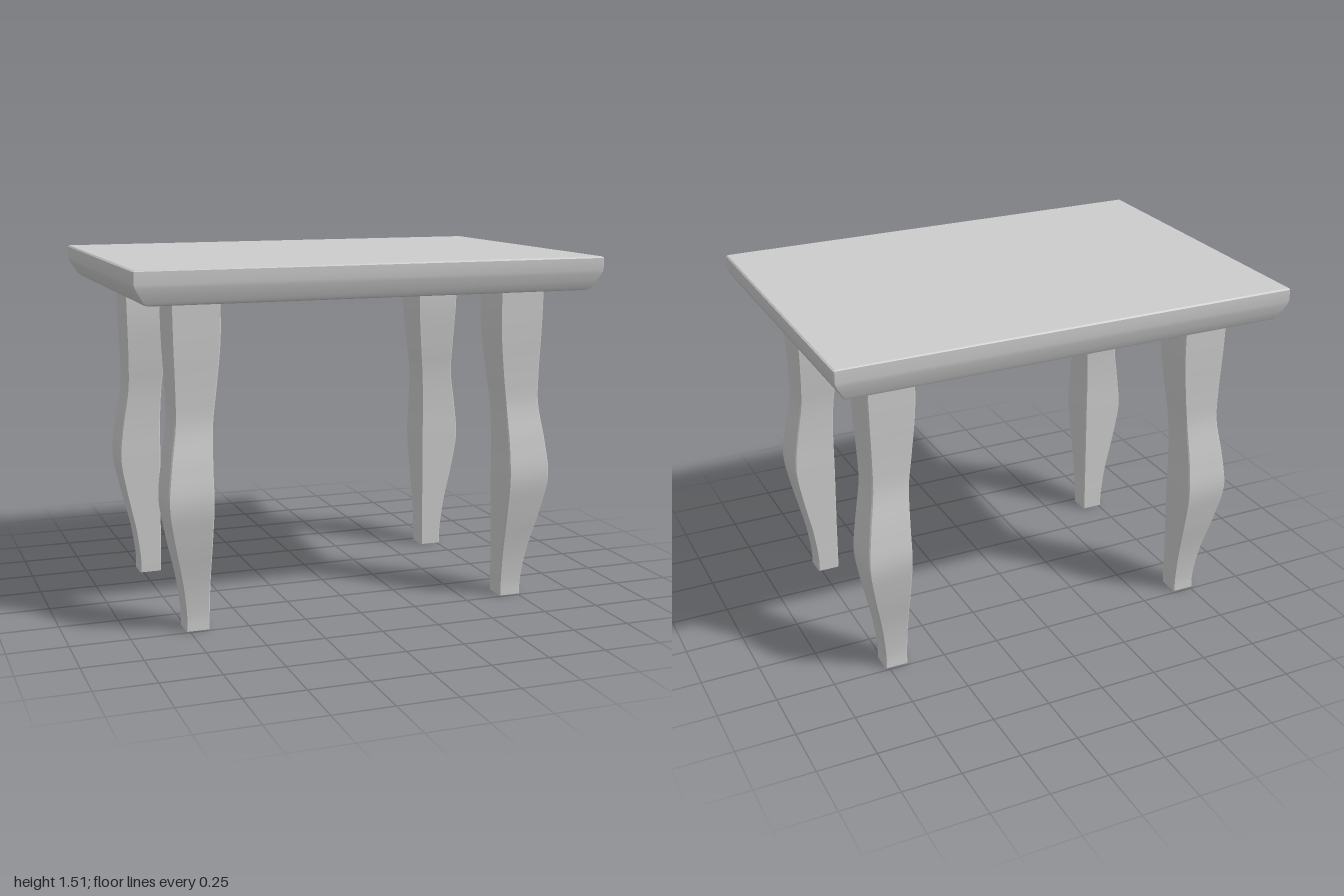
import * as THREE from 'three';
import { toCreasedNormals } from 'three/addons/utils/BufferGeometryUtils.js';

const material = new THREE.MeshStandardMaterial({ color: 0xcccccc });

// Lofts rectangles with bevelled corners: each section is { y, x0, x1, z0, z1 }
function loftRectangles(sections, bevel, crease) {
  const positions = [];
  const index = [];
  const n = 8;
  for (const { y, x0, x1, z0, z1 } of sections) {
    const b = bevel;
    const ring = [
      [x1 - b, z1], [x1, z1 - b], [x1, z0 + b], [x1 - b, z0],
      [x0 + b, z0], [x0, z0 + b], [x0, z1 - b], [x0 + b, z1],
    ];
    for (const [x, z] of ring) positions.push(x, y, z);
  }
  for (let i = 0; i < sections.length - 1; i++) {
    for (let j = 0; j < n; j++) {
      const a = i * n + j;
      const b = i * n + ((j + 1) % n);
      index.push(a, b, b + n, a, b + n, a + n);
    }
  }
  // End caps
  const top = (sections.length - 1) * n;
  for (let j = 1; j < n - 1; j++) {
    index.push(0, j + 1, j);
    index.push(top, top + j, top + j + 1);
  }
  const geometry = new THREE.BufferGeometry();
  geometry.setAttribute('position', new THREE.Float32BufferAttribute(positions, 3));
  geometry.setIndex(index);
  return toCreasedNormals(geometry, crease);
}

// Leg profile: outer edge, height, inner edge (measured along z)
const legCurve = new THREE.CatmullRomCurve3([
  [0.488, 0, 0.388], [0.488, 0.06, 0.387], [0.505, 0.2, 0.386],
  [0.547, 0.4, 0.383], [0.57, 0.55, 0.381], [0.556, 0.7, 0.38],
  [0.531, 0.87, 0.372], [0.53, 1.0, 0.357], [0.536, 1.2, 0.338],
  [0.539, 1.38, 0.336],
].map((p) => new THREE.Vector3(...p)));
const LEG_X_OFFSET = 0.277; // legs stand further apart along x

function createLeg(sx, sz) {
  const sections = legCurve.getPoints(45).map((p) => {
    const xs = [sx * (p.x + LEG_X_OFFSET), sx * (p.z + LEG_X_OFFSET)];
    const zs = [sz * p.x, sz * p.z];
    return {
      y: p.y,
      x0: Math.min(...xs), x1: Math.max(...xs),
      z0: Math.min(...zs), z1: Math.max(...zs),
    };
  });
  return new THREE.Mesh(loftRectangles(sections, 0.005, 0.6), material);
}

// Slab with an undercut, rounded lower edge: half width, height, half depth
function createTabletop() {
  const sections = [
    [0.935, 1.37, 0.675], [0.95, 1.374, 0.684], [0.96, 1.384, 0.69],
    [0.98, 1.415, 0.701], [0.995, 1.44, 0.709], [1, 1.455, 0.712],
    [1, 1.505, 0.712], [0.994, 1.511, 0.706],
  ].map(([x, y, z]) => ({ y, x0: -x, x1: x, z0: -z, z1: z }));
  return new THREE.Mesh(loftRectangles(sections, 0.004, 0.6), material);
}

export function createModel() {
  const table = new THREE.Group();
  table.name = 'table';

  const tabletop = createTabletop();
  tabletop.name = 'tabletop';
  table.add(tabletop);

  // Four mirrored legs
  for (const sx of [1, -1]) {
    for (const sz of [1, -1]) {
      const leg = createLeg(sx, sz);
      leg.name = (sz > 0 ? 'front' : 'back') + (sx > 0 ? 'Left' : 'Right') + 'Leg';
      table.add(leg);
    }
  }
  return table;
}
